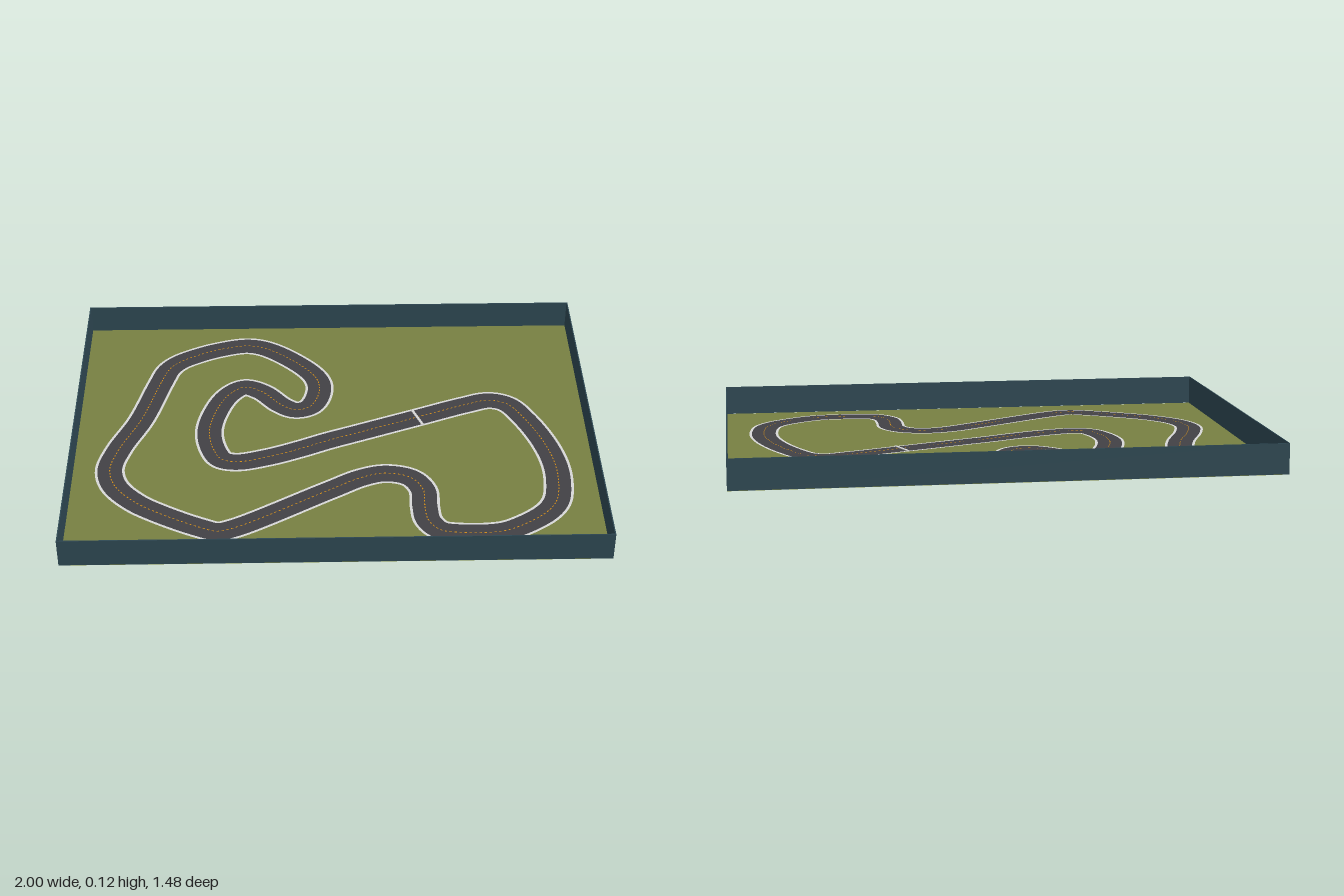
import * as THREE from 'three';

const W = 2, D = 1.48, H = 0.115, T = 0.004;

// Track centreline (x, z), a closed loop starting after the finish line
const COURSE = [
  [0.337, -0.105], [0.53, -0.182], [0.63, -0.211], [0.70, -0.185], [0.76, -0.09], [0.82, 0.06],
  [0.85, 0.2], [0.85, 0.32], [0.83, 0.42], [0.78, 0.49], [0.65, 0.575], [0.58, 0.592],
  [0.46, 0.592], [0.385, 0.575], [0.345, 0.52], [0.336, 0.44], [0.334, 0.34], [0.29, 0.27],
  [0.2, 0.243], [0.11, 0.265], [-0.02, 0.34], [-0.37, 0.549], [-0.435, 0.568], [-0.5, 0.545],
  [-0.65, 0.465], [-0.75, 0.395], [-0.83, 0.3], [-0.856, 0.2], [-0.83, 0.08], [-0.755, -0.107],
  [-0.69, -0.35], [-0.66, -0.445], [-0.62, -0.495], [-0.55, -0.54], [-0.46, -0.58], [-0.34, -0.606],
  [-0.25, -0.575], [-0.09, -0.425], [-0.05, -0.34], [-0.055, -0.25], [-0.09, -0.18], [-0.145, -0.162],
  [-0.2, -0.195], [-0.28, -0.285], [-0.35, -0.317], [-0.41, -0.27], [-0.46, -0.16], [-0.483, -0.03],
  [-0.465, 0.08], [-0.43, 0.147], [-0.37, 0.163], [-0.25, 0.135], [-0.13, 0.088], [-0.02, 0.038],
  [0.1, -0.01],
];
const STEPS = 720;

// Flat strip along the curve between two side offsets; "dashed" keeps every other piece
function ribbon(curve, from, to, y, dashed = false) {
  const pos = [], norm = [], index = [];
  for (let i = 0; i <= STEPS; i++) {
    const p = curve.getPointAt((i % STEPS) / STEPS);
    const t = curve.getTangentAt((i % STEPS) / STEPS);
    for (const o of [from, to]) {
      pos.push(p.x - t.z * o, y, p.z + t.x * o);
      norm.push(0, 1, 0);
    }
    if (i < STEPS && !(dashed && i % 2)) {
      const a = i * 2;
      index.push(a, a + 1, a + 3, a, a + 3, a + 2);
    }
  }
  const g = new THREE.BufferGeometry();
  g.setAttribute('position', new THREE.Float32BufferAttribute(pos, 3));
  g.setAttribute('normal', new THREE.Float32BufferAttribute(norm, 3));
  g.setIndex(index);
  return g;
}

export function createModel() {
  const group = new THREE.Group();
  const material = (name, color) => {
    const m = new THREE.MeshStandardMaterial({ color });
    m.name = name;
    return m;
  };
  const grass = material('grass', 0x778042);
  grass.side = THREE.DoubleSide;
  const wall = material('wall', 0x2e4853);
  const asphalt = material('asphalt', 0x424145);
  const white = material('white', 0xd8d8d8);
  const orange = material('orange', 0xd18b14);

  const add = (name, geometry, mat, x = 0, y = 0, z = 0) => {
    const mesh = new THREE.Mesh(geometry, mat);
    mesh.name = name;
    mesh.position.set(x, y, z);
    group.add(mesh);
    return mesh;
  };

  // Ground sheet
  add('ground', new THREE.PlaneGeometry(W, D).rotateX(-Math.PI / 2), grass);

  // Thin boundary walls
  const wallH = H - 0.001, wallY = 0.001 + wallH / 2;
  for (const s of [1, -1]) {
    add(s > 0 ? 'frontWall' : 'backWall', new THREE.BoxGeometry(W, wallH, T), wall, 0, wallY, s * (D - T) / 2);
    add(s > 0 ? 'leftWall' : 'rightWall', new THREE.BoxGeometry(T, wallH, D - 2 * T), wall, s * (W - T) / 2, wallY, 0);
  }

  // Road, edge lines and dashed centre line
  const curve = new THREE.CatmullRomCurve3(
    COURSE.map(([x, z]) => new THREE.Vector3(x, 0, z)), true, 'centripetal');
  curve.arcLengthDivisions = 2000;
  add('road', ribbon(curve, -0.047, 0.047, 0.003), asphalt);
  add('edgeLineInner', ribbon(curve, -0.057, -0.047, 0.003), white);
  add('edgeLineOuter', ribbon(curve, 0.047, 0.057, 0.003), white);
  add('centreDashes', ribbon(curve, -0.002, 0.002, 0.005, true), orange);

  // Finish line across the straight
  const finish = add('finishLine', new THREE.BoxGeometry(0.01, 0.003, 0.1), white, 0.337, 0.005, -0.105);
  finish.rotation.y = 0.38;

  return group;
}
